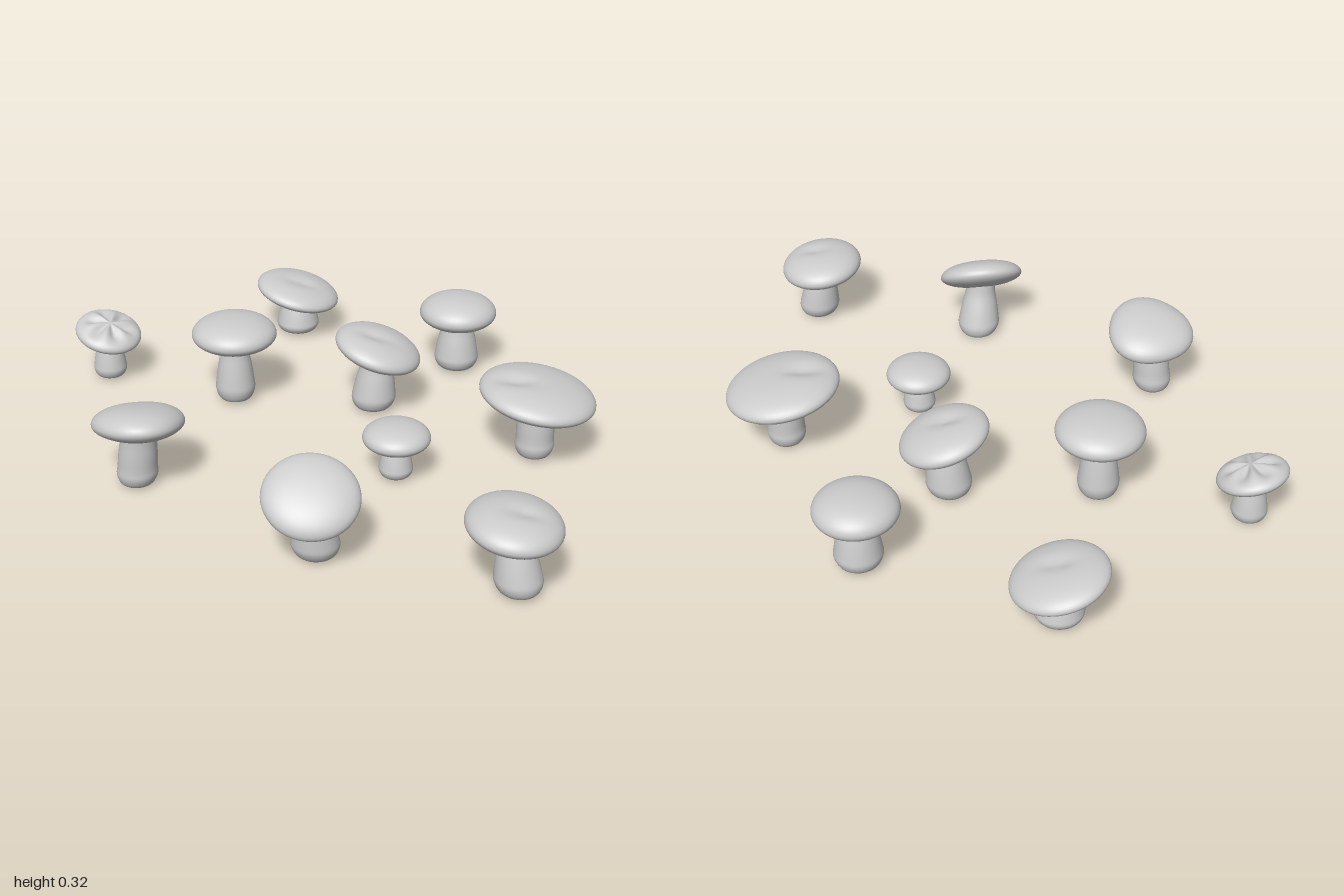
import * as THREE from 'three';
import { mergeVertices } from 'three/addons/utils/BufferGeometryUtils.js';

const material = new THREE.MeshStandardMaterial({ color: 0xcccccc, roughness: 0.8 });

// Unit lathe, welded so that its normals run smoothly over the seam and poles
function lathe(points, segments) {
  const geometry = new THREE.LatheGeometry(points, segments);
  geometry.deleteAttribute('uv');
  geometry.deleteAttribute('normal');
  return mergeVertices(geometry, 1e-5);
}

function moveVertices(geometry, rule) {
  const position = geometry.attributes.position;
  const v = new THREE.Vector3();
  for (let i = 0; i < position.count; i++) {
    rule(v.fromBufferAttribute(position, i));
    position.setXYZ(i, v.x, v.y, v.z);
  }
  geometry.computeVertexNormals();
  return geometry;
}

// Flattened dome with a round rim and a shallower, closed underside
function makeCap(radius, { dome = 0.055, stretch = 1, dent = 0, dentX = 0, folds = 0, corner = 0 }) {
  const profile = [];
  for (let i = 0; i <= 28; i++) {
    const a = -Math.PI / 2 + (Math.PI * i) / 28;
    const r = i % 28 === 0 ? 0 : Math.pow(Math.cos(a), 0.88);
    profile.push(new THREE.Vector2(r, Math.sin(a)));
  }
  const geometry = moveVertices(lathe(profile, 48), (v) => {
    const r = Math.min(1, Math.hypot(v.x, v.z));
    const angle = Math.atan2(v.z, v.x);
    const onTop = Math.max(0, v.y);
    v.y *= v.y > 0 ? dome : dome * 0.84;
    // soft hollow and radial creases in the dome
    v.y -= onTop * dent * Math.exp(-((v.x - dentX) ** 2 * 8 + (v.z - 0.1) ** 2 * 30));
    v.y -= onTop * folds * (0.5 + Math.cos(6 * angle)) * Math.sin(Math.PI * r) ** 2;
    // slightly three-cornered outline
    const wobble = radius * (1 + corner * Math.cos(3 * (angle - 1.2)));
    v.x *= wobble;
    v.z *= wobble * stretch;
  });
  const mesh = new THREE.Mesh(geometry, material);
  mesh.name = 'cap';
  return mesh;
}

// Stem with a rounded, swollen foot, leaning from the foot to the neck
function makeStem(foot, neck, height, leanX, leanZ) {
  const outline = [
    [foot * 0.45, 0], [foot * 0.82, 0.04], [foot, 0.17], [foot * 0.97, 0.3],
    [(foot + neck) / 2, 0.52], [neck, 0.76], [neck, 1],
  ].map(([r, y]) => new THREE.Vector2(r, y));
  const curve = new THREE.SplineCurve(outline).getPoints(20);
  const profile = [new THREE.Vector2(0, 0), ...curve, new THREE.Vector2(0, 1)];
  const geometry = moveVertices(lathe(profile, 32), (v) => {
    v.x += leanX * v.y;
    v.z += leanZ * v.y;
    v.y *= height;
  });
  const mesh = new THREE.Mesh(geometry, material);
  mesh.name = 'stem';
  return mesh;
}

// A mushroom with its cap centred on x, y, z; the foot stands on the ground,
// moved back from the neck by the lean
function makeMushroom(x, y, z, radius, options = {}) {
  const { tiltX = 0, tiltZ = 0, leanX = 0, leanZ = 0, ground = 0.01 } = options;
  const { foot = radius * 0.5, neck = foot * 0.72 } = options;
  const mushroom = new THREE.Group();
  mushroom.name = 'mushroom';
  const cap = makeCap(radius, options);
  cap.position.set(x, y, z);
  cap.rotation.set(tiltX, 0, tiltZ);
  const stem = makeStem(foot, neck, y - ground, leanX, leanZ);
  stem.position.set(x - leanX, ground, z - leanZ);
  mushroom.add(cap, stem);
  return mushroom;
}

export function createModel() {
  const model = new THREE.Group();
  model.name = 'mushrooms';

  // back row
  model.add(makeMushroom(-0.19, 0.17, -0.84, 0.159, { tiltZ: -0.24, dome: 0.048, dent: 0.01 }));
  model.add(makeMushroom(0.44, 0.23, -0.6, 0.14, { dome: 0.064, foot: 0.08 }));
  model.add(makeMushroom(-0.82, 0.182, -0.36, 0.12, { tiltX: 0.18, tiltZ: -0.24, dome: 0.043, folds: 0.01 }));

  // middle
  model.add(makeMushroom(-0.33, 0.265, -0.24, 0.15, { dome: 0.062, foot: 0.07 }));
  model.add(makeMushroom(0.18, 0.238, -0.24, 0.155, { tiltZ: -0.3, leanX: 0.015, dent: 0.012, dentX: -0.15 }));
  model.add(makeMushroom(0.74, 0.235, 0.03, 0.197,
    { tiltZ: -0.15, dome: 0.058, foot: 0.066, neck: 0.062, dent: 0.018, dentX: -0.45 }));
  model.add(makeMushroom(0.29, 0.153, 0.23, 0.113, { dome: 0.049 }));

  // front row
  model.add(makeMushroom(-0.53, 0.232, 0.39, 0.151,
    { tiltX: -0.24, tiltZ: 0.06, leanX: 0.02, leanZ: 0.015, ground: 0.003, dome: 0.06, foot: 0.068, neck: 0.06, corner: 0.04 }));
  model.add(makeMushroom(0.08, 0.23, 0.763, 0.152,
    { tiltX: 0.58, tiltZ: -0.1, leanX: -0.012, leanZ: 0.04, ground: 0.005, stretch: 0.95 }));
  model.add(makeMushroom(0.686, 0.228, 0.835, 0.148,
    { tiltZ: -0.1, leanX: -0.026, leanZ: -0.015, dome: 0.06, stretch: 1.08, dent: 0.01, dentX: 0.15 }));
  return model;
}
